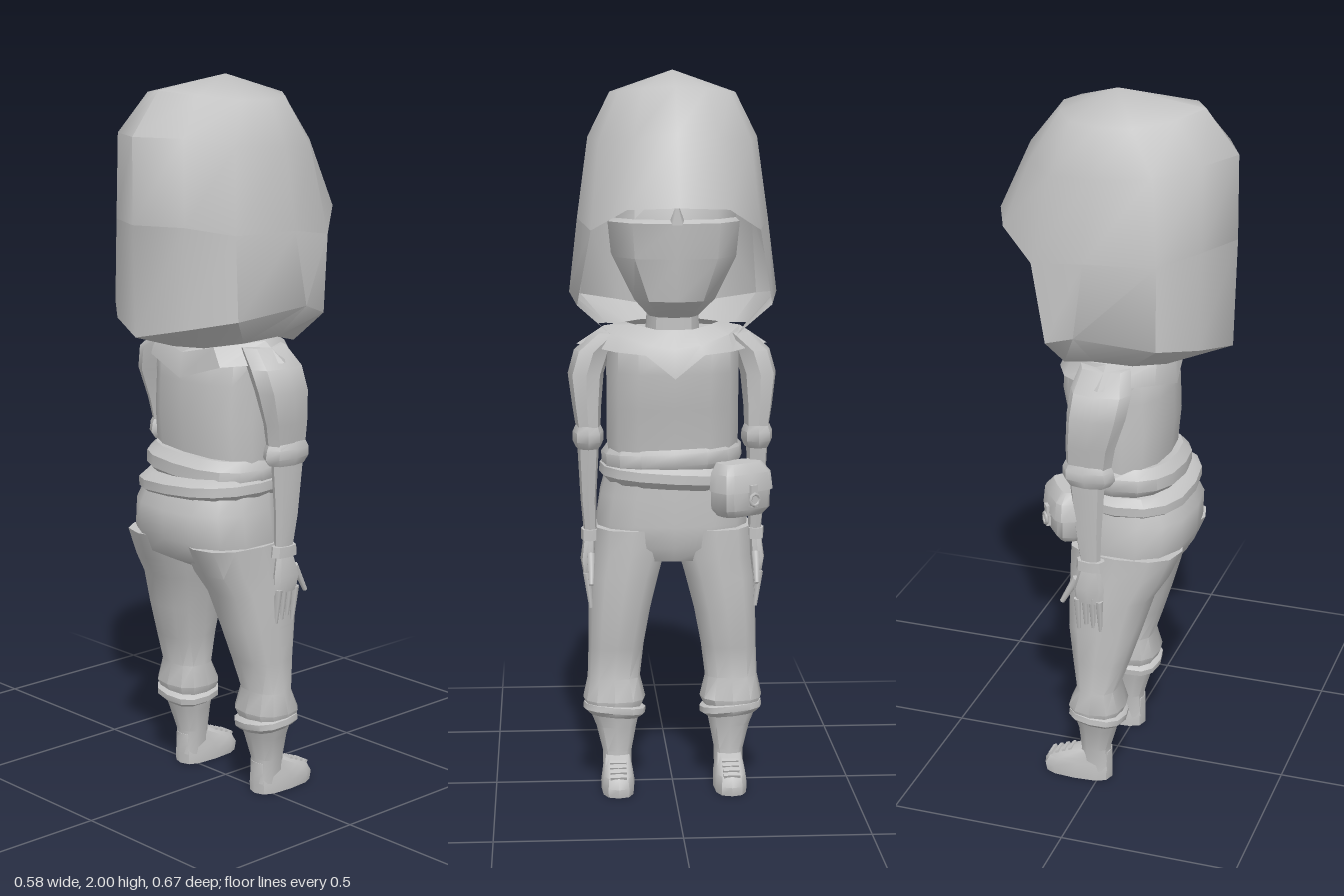
import * as THREE from 'three';
import { toCreasedNormals, mergeGeometries } from 'three/addons/utils/BufferGeometryUtils.js';

const grey = new THREE.MeshStandardMaterial({ color: 0xc2c2c2, side: THREE.DoubleSide });
grey.name = 'plain grey';

// Skin between rows of points, listed bottom to top, each running counterclockwise from above
function skin(rows, { closed = true, caps = true, crease = 0.75 } = {}) {
  const n = rows[0].length, pos = rows.flat(2), index = [];
  const cols = closed ? n : n - 1;
  for (let i = 0; i < rows.length - 1; i++) {
    for (let j = 0; j < cols; j++) {
      const k = (j + 1) % n;
      const a = i * n + j, b = i * n + k, c = b + n, d = a + n;
      index.push(a, b, c, a, c, d);
    }
  }
  if (closed && caps) {
    [0, rows.length - 1].forEach((r, top) => {
      const m = pos.length / 3;
      for (let k = 0; k < 3; k++) pos.push(rows[r].reduce((s, p) => s + p[k], 0) / n);
      for (let j = 0; j < n; j++) {
        const a = r * n + j, b = r * n + (j + 1) % n;
        if (top) index.push(a, b, m); else index.push(b, a, m);
      }
    });
  }
  const g = new THREE.BufferGeometry();
  g.setAttribute('position', new THREE.Float32BufferAttribute(pos, 3));
  g.setIndex(index);
  return toCreasedNormals(g, crease);
}

// Rounded-square ring: height, centre x, half width, back z, front z
function ring([y, cx, rx, zBack, zFront], sides, power) {
  const soft = (v) => Math.sign(v) * Math.abs(v) ** power;
  return Array.from({ length: sides }, (_, j) => {
    const t = -Math.PI + (j / sides) * 2 * Math.PI;
    return [cx + rx * soft(Math.sin(t)), y,
      (zBack + zFront) / 2 + (zBack - zFront) / 2 * soft(Math.cos(t))];
  });
}
const loft = (rings, sides = 12, power = 0.8, opts) =>
  skin(rings.map((r) => ring(r, sides, power)), opts);

// Mirror a half row (back centre to front) into a full row
const fullRow = (half) => [
  ...half.slice(1).reverse().map(([x, y, z]) => [-x, y, z]), ...half];

function add(parent, name, geometry, x = 0, y = 0, z = 0) {
  const m = new THREE.Mesh(geometry, grey);
  m.name = name;
  m.position.set(x, y, z);
  parent.add(m);
  return m;
}

function hood() {
  const hem = [[0, 1.28, .19], [.1, 1.285, .17], [.18, 1.3, .1], [.205, 1.31, 0], [.17, 1.285, -.095]];
  const crease = [[0, 1.32, .325], [.14, 1.35, .27], [.25, 1.375, .185], [.285, 1.4, -.03], [.265, 1.37, -.115]];
  const brim = [[0, 1.62, .332], [.137, 1.62, .272], [.235, 1.6, .18], [.262, 1.6, -.01],
    [.228, 1.575, -.165], [.135, 1.635, -.277], [0, 1.642, -.335]];
  const brow = [[0, 1.85, .33], [.13, 1.85, .27], [.212, 1.83, .16], [.232, 1.82, 0],
    [.205, 1.81, -.12], [.115, 1.82, -.205], [0, 1.835, -.245]];
  const crown = [[0, 1.965, .24], [.1, 1.955, .19], [.165, 1.942, .09], [.172, 1.94, 0],
    [.15, 1.942, -.08], [.085, 1.95, -.13], [0, 1.955, -.15]];
  const apex = crown.map(() => [0, 2, 0]);
  const open = { closed: false, crease: 0.9 };
  return mergeGeometries([
    skin([hem, crease, brim.slice(0, 5)].map(fullRow), open),
    skin([brim, brow, crown, apex].map(fullRow), open),
  ]);
}

// Ragged neck cloth, hanging to points over chest and back
function scarf() {
  const neck = [[0, 1.31, .12], [.08, 1.31, .1], [.13, 1.31, .03], [.1, 1.31, -.06], [.05, 1.3, -.09], [0, 1.3, -.1]];
  const mid = [[0, 1.26, .162], [.11, 1.285, .145], [.19, 1.3, .03], [.15, 1.285, -.08], [.07, 1.26, -.13], [0, 1.25, -.14]];
  const edge = [[0, 1.19, .17], [.14, 1.235, .15], [.265, 1.25, .03], [.16, 1.24, -.1], [.08, 1.235, -.14], [0, 1.17, -.145]];
  return skin([edge, mid, neck].map(fullRow), { closed: false });
}

function arm(s) {
  const g = new THREE.Group();
  g.name = s > 0 ? 'leftArm' : 'rightArm';
  const L = (rings, sides, power, opts) =>
    loft(rings.map(([y, x, ...r]) => [y, s * x, ...r]), sides, power, opts);
  add(g, 'sleeve', L([[1.0, .233, .032, .055, -.07], [1.08, .238, .04, .07, -.07],
    [1.17, .24, .05, .1, -.065], [1.235, .22, .052, .11, -.06], [1.285, .165, .05, .09, -.05]], 8, .8));
  add(g, 'elbowCuff', L([[.965, .235, .034, .055, -.065], [.985, .235, .043, .07, -.08],
    [1.01, .235, .043, .065, -.08], [1.03, .235, .034, .055, -.07]], 8, .9));
  add(g, 'forearm', L([[.72, .23, .018, .025, -.03], [.82, .235, .022, .03, -.045],
    [.97, .235, .03, .04, -.06]], 8));
  add(g, 'wristBand', L([[.705, .232, .024, .042, -.045], [.735, .232, .024, .038, -.042]], 8));
  add(g, 'palm', L([[.605, .236, .014, .035, -.045], [.65, .238, .02, .038, -.05],
    [.71, .234, .016, .025, -.03]], 8));
  // Fingers hang down, the thumb points forwards
  for (let i = 0; i < 4; i++) {
    const f = add(g, 'finger', new THREE.CylinderGeometry(.011, .006, .1, 6), s * .236, .565 + .008 * (i % 3), .025 - i * .021);
    f.rotation.z = s * -.12;
  }
  const thumb = add(g, 'thumb', new THREE.CylinderGeometry(.012, .007, .09, 6), s * .23, .63, -.066);
  thumb.rotation.x = .5;
  return g;
}

function leg(s) {
  const g = new THREE.Group();
  g.name = s > 0 ? 'leftLeg' : 'rightLeg';
  const L = (rings, sides, power, opts) =>
    loft(rings.map(([y, x, ...r]) => [y, s * x, ...r]), sides, power, opts);
  add(g, 'trouserLeg', L([[.21, .165, .07, .06, -.07], [.25, .165, .088, .078, -.085],
    [.31, .166, .074, .06, -.06], [.4, .159, .078, .09, -.075], [.5, .149, .087, .122, -.09],
    [.6, .134, .098, .152, -.092], [.66, .122, .104, .19, -.095], [.74, .115, .108, .225, -.095]]));
  const cuff = add(g, 'bootCuff', L([[-.018, 0, .07, .07, -.07], [-.005, 0, .088, .082, -.082],
    [.012, 0, .088, .082, -.082], [.022, 0, .07, .07, -.07]]), s * .165, .215, -.003);
  cuff.rotation.set(.1, 0, s * .1);
  add(g, 'bootShaft', L([[.03, .158, .04, .035, -.06], [.1, .158, .042, .03, -.055],
    [.17, .16, .058, .05, -.06], [.215, .164, .072, .065, -.07]], 10));
  add(g, 'shoe', L([[0, .158, .046, .035, -.165], [.025, .158, .047, .036, -.17],
    [.05, .158, .043, .035, -.155], [.066, .158, .04, .034, -.12], [.09, .158, .036, .032, -.06]], 12, .7));
  for (let i = 0; i < 4; i++) {
    const lace = add(g, 'lace', new THREE.BoxGeometry(.046, .009, .01), s * .158, .054 + i * .008, -.147 + i * .02);
    lace.rotation.x = -.4;
  }
  return g;
}

function pouch() {
  const g = new THREE.Group();
  g.name = 'beltPouch';
  add(g, 'pouchBody', loft([[-.075, 0, .065, .035, -.035], [-.055, 0, .082, .045, -.05],
    [.02, 0, .085, .045, -.05], [.06, 0, .07, .04, -.035]], 12, .5));
  add(g, 'pouchFlap', loft([[-.005, 0, .089, .046, -.057], [.045, 0, .084, .045, -.052],
    [.072, 0, .065, .04, -.03]], 12, .5));
  add(g, 'pouchStrap', new THREE.BoxGeometry(.024, .06, .012), 0, -.015, -.058);
  add(g, 'pouchBuckle', new THREE.TorusGeometry(.016, .005, 5, 8), 0, -.025, -.064);
  g.position.set(-.182, .86, -.085);
  g.rotation.y = .6;
  return g;
}

export function createModel() {
  const model = new THREE.Group();
  model.name = 'hoodedFigure';

  // Head
  add(model, 'hood', hood());
  add(model, 'head', loft([[1.335, 0, .07, .1, -.12], [1.385, 0, .115, .13, -.205],
    [1.5, 0, .175, .18, -.222], [1.595, 0, .185, .2, -.232], [1.605, 0, .175, .2, -.215],
    [1.72, 0, .17, .19, -.19], [1.82, 0, .12, .14, -.12]], 10, .85));
  const nose = add(model, 'nose', new THREE.ConeGeometry(.022, .06, 5), 0, 1.625, -.222);
  nose.rotation.x = -.2;
  add(model, 'neck', loft([[1.22, 0, .08, .1, -.08], [1.38, 0, .07, .08, -.08]], 10));
  add(model, 'scarf', scarf());

  // Torso
  add(model, 'torso', loft([[.9, 0, .175, .15, -.09], [.98, 0, .185, .155, -.1],
    [1.08, 0, .185, .165, -.115], [1.18, 0, .185, .162, -.135], [1.25, 0, .185, .155, -.13],
    [1.295, 0, .14, .12, -.09]], 14, .75));
  add(model, 'hips', loft([[.65, 0, .13, .12, -.07], [.69, 0, .205, .205, -.092], [.75, 0, .215, .232, -.096],
    [.83, 0, .203, .236, -.096], [.9, 0, .185, .2, -.095]], 14, .8));

  // Two wrapped sashes, tilted against each other
  const roll = (h, rx, back, front) => loft([[-h, 0, rx - .02, back - .025, front + .02],
    [-h * .4, 0, rx, back, front], [h * .4, 0, rx, back, front],
    [h, 0, rx - .02, back - .025, front + .02]], 16, .8);
  add(model, 'upperSash', roll(.042, .197, .198, -.108), 0, .94, 0).rotation.z = -.05;
  add(model, 'lowerSash', roll(.032, .203, .228, -.115), 0, .888, 0).rotation.z = .06;
  model.add(pouch());

  for (const s of [1, -1]) model.add(arm(s), leg(s));
  return model;
}
